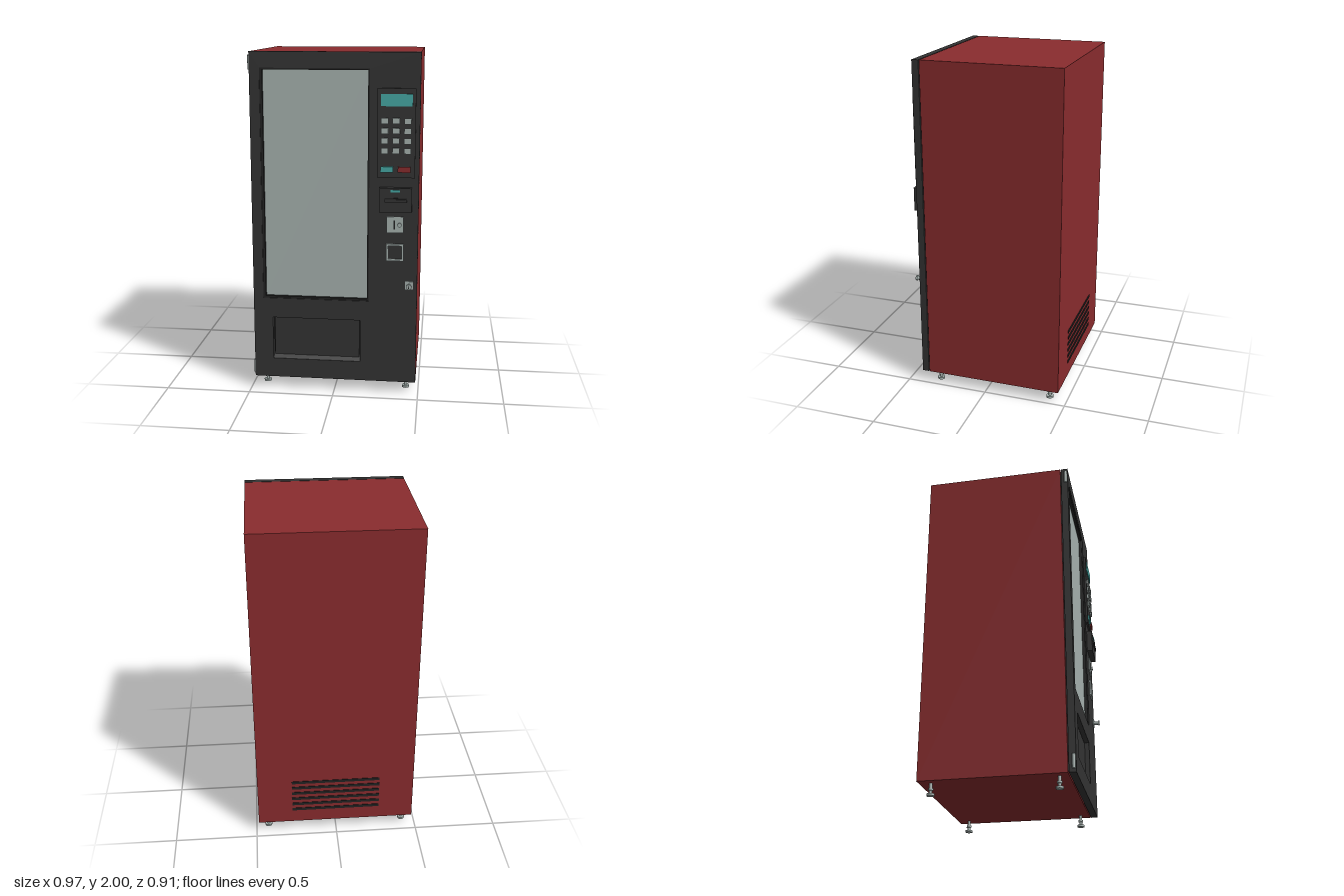
import * as THREE from 'three';

const mat = (name, color) => {
  const m = new THREE.MeshStandardMaterial({ color });
  m.name = name;
  return m;
};

export function createModel() {
  const red = mat('cabinet red', 0x8a2c2e);
  const dark = mat('charcoal', 0x343434);
  const black = mat('black', 0x222222);
  const silver = mat('pale grey', 0xa8b4b1);
  const teal = mat('teal', 0x46aaa6);

  const model = new THREE.Group();
  model.name = 'vendingMachine';

  const add = (name, geometry, material) => {
    const mesh = new THREE.Mesh(geometry, material);
    mesh.name = name;
    model.add(mesh);
    return mesh;
  };
  // Box given by its limits on each axis
  const box = (name, material, x0, x1, y0, y1, z0, z1) =>
    add(name, new THREE.BoxGeometry(x1 - x0, y1 - y0, z1 - z0), material)
      .position.set((x0 + x1) / 2, (y0 + y1) / 2, (z0 + z1) / 2);
  const rect = (Type, x0, x1, y0, y1) => new Type([
    new THREE.Vector2(x0, y0), new THREE.Vector2(x1, y0),
    new THREE.Vector2(x1, y1), new THREE.Vector2(x0, y1)]);
  // Flat plate with rectangular holes
  const plate = (name, material, outer, holes, z0, z1) => {
    const shape = rect(THREE.Shape, ...outer);
    holes.forEach(h => shape.holes.push(rect(THREE.Path, ...h)));
    const geometry = new THREE.ExtrudeGeometry(shape, { depth: z1 - z0, bevelEnabled: false });
    add(name, geometry, material).position.z = z0;
  };
  const cylinder = (name, material, r, h, x, y, z, alongZ = false, sides = 12) => {
    const mesh = add(name, new THREE.CylinderGeometry(r, r, h, sides), material);
    mesh.position.set(x, y, z);
    if (alongZ) mesh.rotation.x = Math.PI / 2;
  };

  // Cabinet, seal and door
  const windowHole = [-0.42, 0.203, 0.565, 1.91];
  const trayHole = [-0.365, 0.155, 0.187, 0.445];
  box('cabinet', red, -0.478, 0.484, 0.07, 2, -0.455, 0.368);
  box('doorSeal', black, -0.468, 0.474, 0.08, 1.99, 0.368, 0.374);
  plate('door', dark, [-0.478, 0.484, 0.07, 2], [windowHole, trayHole], 0.373, 0.413);

  // Window
  plate('windowTrim', black, windowHole, [[-0.405, 0.193, 0.577, 1.9]], 0.376, 0.408);
  box('windowGlass', silver, -0.406, 0.194, 0.576, 1.901, 0.375, 0.39);

  // Delivery hatch: recessed flap with a sloping sill below it
  box('deliveryFlap', dark, -0.358, 0.148, 0.2, 0.438, 0.374, 0.387);
  const sill = new THREE.Shape([
    new THREE.Vector2(0.374, 0.187), new THREE.Vector2(0.411, 0.187), new THREE.Vector2(0.374, 0.215)]);
  const sillMesh = add('deliverySill', new THREE.ExtrudeGeometry(sill, { depth: 0.52, bevelEnabled: false }), dark);
  sillMesh.rotation.y = -Math.PI / 2;
  sillMesh.position.x = 0.155;

  // Keypad panel
  box('keypadPanel', dark, 0.247, 0.46, 1.303, 1.803, 0.412, 0.425);
  box('displayScreen', teal, 0.266, 0.441, 1.705, 1.772, 0.425, 0.431);
  for (const x of [0.288, 0.352, 0.417]) {
    for (let row = 0; row < 4; row++) {
      const y = 1.456 + row * 0.0557;
      box('key', silver, x - 0.02, x + 0.02, y - 0.016, y + 0.016, 0.425, 0.435);
    }
  }
  box('confirmButton', teal, 0.266, 0.338, 1.335, 1.367, 0.425, 0.435);
  box('cancelButton', red, 0.364, 0.436, 1.335, 1.367, 0.425, 0.435);

  // Note reader
  box('noteReader', dark, 0.263, 0.446, 1.107, 1.247, 0.412, 0.446);
  box('noteSlotLip', dark, 0.292, 0.418, 1.168, 1.184, 0.446, 0.455);
  box('noteSlot', black, 0.292, 0.418, 1.184, 1.191, 0.446, 0.449);
  box('noteLight', teal, 0.325, 0.38, 1.225, 1.237, 0.446, 0.45);

  // Coin slot with return button
  box('coinPlate', silver, 0.303, 0.4, 0.983, 1.076, 0.412, 0.421);
  box('coinSlot', black, 0.344, 0.352, 1.005, 1.056, 0.421, 0.423);
  cylinder('coinReturnButton', silver, 0.012, 0.01, 0.378, 1.03, 0.425, true);

  // Coin return cup
  plate('coinCupFrame', silver, [0.303, 0.403, 0.817, 0.917], [[0.314, 0.392, 0.828, 0.906]], 0.412, 0.423);
  box('coinCupFlap', dark, 0.314, 0.392, 0.828, 0.906, 0.412, 0.415);

  // Door lock
  box('lockPlate', silver, 0.415, 0.46, 0.648, 0.695, 0.412, 0.42);
  cylinder('lockBarrel', silver, 0.011, 0.03, 0.4375, 0.6715, 0.434, true);
  cylinder('lockHead', silver, 0.016, 0.008, 0.4375, 0.6715, 0.45, true);
  box('keyhole', black, 0.435, 0.44, 0.662, 0.681, 0.454, 0.455);

  // Hinges on the door edge
  for (const y of [0.13, 1.94]) cylinder('hinge', silver, 0.009, 0.08, -0.479, y, 0.4);

  // Levelling feet
  for (const x of [-0.422, 0.424]) {
    for (const z of [-0.39, 0.315]) {
      cylinder('footPad', silver, 0.022, 0.012, x, 0.006, z);
      cylinder('footStem', silver, 0.009, 0.062, x, 0.041, z);
      cylinder('footNut', silver, 0.015, 0.012, x, 0.036, z, false, 6);
    }
  }

  // Rear vent slots
  for (let i = 0; i < 6; i++) {
    const y = 0.165 + i * 0.041;
    box('ventSlot', black, -0.267, 0.273, y - 0.009, y + 0.009, -0.458, -0.454);
  }

  return model;
}
